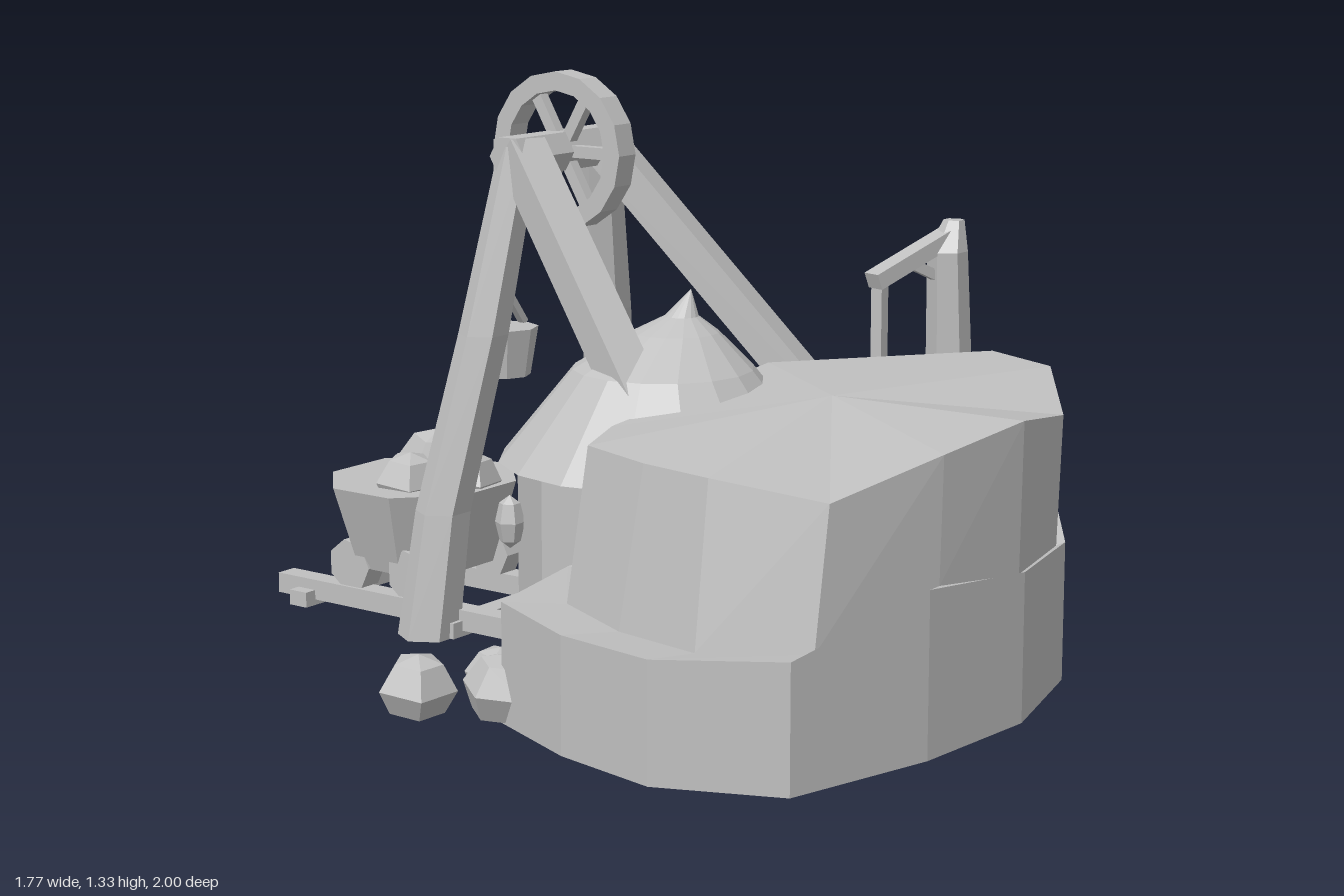
import * as THREE from 'three';

const stone = new THREE.MeshStandardMaterial({ color: 0xc0c0c0, flatShading: true, side: THREE.DoubleSide });
stone.name = 'plain grey';

function add(parent, name, geo, x = 0, y = 0, z = 0) {
  const m = new THREE.Mesh(geo, stone);
  m.name = name;
  m.position.set(x, y, z);
  parent.add(m);
  return m;
}

// Skin a list of equal-length point rings
function loft(rings) {
  const n = rings[0].length, index = [];
  for (let r = 0; r < rings.length - 1; r++) {
    for (let i = 0; i < n; i++) {
      const a = r * n + i, b = r * n + (i + 1) % n;
      index.push(a, b, b + n, a, b + n, a + n);
    }
  }
  const g = new THREE.BufferGeometry();
  g.setAttribute('position', new THREE.Float32BufferAttribute(rings.flat(2), 3));
  g.setIndex(index);
  const flat = g.toNonIndexed();
  flat.computeVertexNormals();
  return flat;
}

// Square timber between two points; parents stay at the origin
function beam(parent, name, a, b, w, d = w) {
  const p = new THREE.Vector3(...a), q = new THREE.Vector3(...b);
  const m = add(parent, name, new THREE.BoxGeometry(w, d, p.distanceTo(q)));
  m.position.copy(p).add(q).multiplyScalar(0.5);
  m.lookAt(q);
  return m;
}

// Tapered six-sided timber through several sections: [x, y, z, radius]
function post(parent, name, sections) {
  const ring = ([x, y, z, r]) => Array.from({ length: 6 }, (_, i) => {
    const t = i / 6 * Math.PI * 2;
    return [x + r * Math.cos(t), y, z - r * Math.sin(t)];
  });
  const first = sections[0], last = sections[sections.length - 1];
  return add(parent, name, loft([
    ring([first[0], first[1], first[2], 0]), ...sections.map(ring),
    ring([last[0], last[1], last[2], 0])]));
}

// Five-sided boulder with a flat base at y
function rock(parent, name, x, y, z, r, turn) {
  const profile = [[0, 0], [0.7, 0], [1, 0.6], [0.62, 1.25], [0, 1.45]];
  const geo = new THREE.LatheGeometry(profile.map(([a, b]) => new THREE.Vector2(a * r, b * r)), 5);
  add(parent, name, geo, x, y, z).rotation.set(0.08, turn, 0.06);
}

// Bucket on a rope with a forked handle
function bucket(parent, name, x, y, z, r, h, ropeTop) {
  const g = new THREE.Group();
  g.name = name;
  parent.add(g);
  add(g, 'pail', new THREE.CylinderGeometry(r, r * 0.76, h, 8), x, y + h / 2, z);
  beam(g, 'rope', [x, y + h + 0.08, z], [x, ropeTop, z], 0.03);
  for (const s of [-1, 1]) beam(g, 'handle', [x + s * r * 0.9, y + h, z], [x, y + h + 0.1, z], 0.018);
}

export function createModel() {
  const model = new THREE.Group();
  model.name = 'mine';

  // Two-tier mound, each row: lower rim x z y, upper foot x z, upper rim x z y
  const outline = [
    [-0.42, 0.03, 0.27, -0.42, 0.12, -0.40, 0.14, 0.60],
    [-0.74, 0.10, 0.27, -0.64, 0.20, -0.59, 0.22, 0.60],
    [-0.84, 0.34, 0.26, -0.72, 0.40, -0.66, 0.42, 0.60],
    [-0.89, 0.60, 0.265, -0.77, 0.63, -0.71, 0.62, 0.605],
    [-0.78, 0.87, 0.28, -0.68, 0.86, -0.63, 0.86, 0.57],
    [-0.42, 0.97, 0.365, -0.35, 0.95, -0.34, 0.95, 0.63],
    [-0.08, 1.00, 0.335, -0.07, 0.98, -0.07, 0.985, 0.66],
    [0.255, 0.915, 0.32, 0.25, 0.895, 0.25, 0.905, 0.61],
    [0.515, 0.735, 0.385, 0.51, 0.715, 0.515, 0.725, 0.66],
    [0.64, 0.48, 0.34, 0.59, 0.51, 0.585, 0.53, 0.665],
    [0.27, 0.055, 0.30, 0.21, 0.14, 0.21, 0.14, 0.65],
  ];
  const foot = outline.map(p => [p[3], p[2] - 0.01, p[4]]);
  add(model, 'lowerMound', loft([
    outline.map(p => [p[0], 0, p[1]]), outline.map(p => [p[0], p[2], p[1]]), foot]));
  add(model, 'upperMound', loft([
    foot, outline.map(p => [p[5], p[7], p[6]]), outline.map(() => [-0.1, 0.665, 0.52])]));

  // Round hut with a pointed roof whose tip leans over
  add(model, 'hutWall', new THREE.CylinderGeometry(0.335, 0.335, 0.48, 10, 1, true), -0.09, 0.24, 0.05);
  const roof = new THREE.LatheGeometry(
    [[0.33, 0.47], [0.38, 0.465], [0.21, 0.675], [0.1, 0.755], [0.04, 0.79], [0, 0.85]].map(p => new THREE.Vector2(...p)), 16);
  const pos = roof.attributes.position;
  for (let i = 0; i < pos.count; i++) {
    const lean = Math.max(0, pos.getY(i) - 0.67) / 0.18;
    pos.setX(i, pos.getX(i) + 0.07 * lean);
    pos.setZ(i, pos.getZ(i) + 0.03 * lean);
  }
  add(model, 'hutRoof', roof, -0.09, 0, 0.05);
  add(model, 'hutLamp', new THREE.SphereGeometry(0.035, 6, 4), -0.33, 0.32, -0.21).scale.y = 1.8;

  // Winding frame, symmetrical about its own centre line
  const mid = 0.05;
  const frame = new THREE.Group();
  frame.name = 'windingFrame';
  model.add(frame);
  add(frame, 'crossBeam', new THREE.CylinderGeometry(0.053, 0.053, 0.4, 6), mid, 1.135, -0.355).rotation.z = Math.PI / 2;
  for (const s of [-1, 1]) {
    beam(frame, 'frontLeg', [mid + s * 0.15, 1.15, -0.355], [mid + s * 0.365, 0.4, 0.29], 0.095, 0.085);
    post(frame, 'backLeg', [
      [mid + s * 0.36, 0, -0.48, 0.075], [mid + s * 0.325, 0.3, -0.46, 0.066],
      [mid + s * 0.24, 0.72, -0.40, 0.06], [mid + s * 0.155, 1.16, -0.355, 0.048]]);
  }
  // Spoked wheel
  const ring = new THREE.Shape().absarc(0, 0, 0.19, 0, Math.PI * 2);
  ring.holes.push(new THREE.Path().absarc(0, 0, 0.145, 0, Math.PI * 2, true));
  const rim = new THREE.ExtrudeGeometry(ring, { depth: 0.064, bevelEnabled: false, curveSegments: 8 });
  const wheel = new THREE.Group();
  wheel.name = 'windingWheel';
  wheel.position.set(mid, 1.135, -0.345);
  frame.add(wheel);
  add(wheel, 'rim', rim, -0.032, 0, 0).rotation.y = Math.PI / 2;
  for (let i = 0; i < 3; i++) {
    add(wheel, 'spoke', new THREE.BoxGeometry(0.028, 0.028, 0.32)).rotation.x = i * Math.PI / 3;
  }
  bucket(model, 'wheelBucket', mid, 0.57, -0.535, 0.085, 0.12, 1.15);

  // Side post with an arm and hanging bucket
  post(model, 'cranePost', [
    [0.785, 0, 0.313, 0.1], [0.748, 0.53, 0.315, 0.058], [0.725, 0.87, 0.318, 0.05], [0.75, 0.945, 0.32, 0.026]]);
  beam(model, 'craneArm', [0.76, 0.915, 0.32], [0.51, 0.815, 0.24], 0.05, 0.04);
  beam(model, 'craneBrace', [0.72, 0.80, 0.31], [0.62, 0.85, 0.27], 0.025);
  bucket(model, 'craneBucket', 0.54, 0.24, 0.24, 0.1, 0.13, 0.83);

  // Track
  for (const x of [-0.25, 0.07]) add(model, 'rail', new THREE.BoxGeometry(0.055, 0.05, 0.76), x, 0.04, -0.62);
  for (const z of [-0.905, -0.43]) add(model, 'tie', new THREE.BoxGeometry(0.44, 0.038, 0.055), -0.09, 0.02, z);

  // Ore cart
  const cart = new THREE.Group();
  cart.name = 'oreCart';
  cart.position.set(-0.09, 0, -0.68);
  model.add(cart);
  const body = new THREE.CylinderGeometry(0.25, 0.185, 0.205, 8);
  body.rotateY(Math.PI / 8);
  add(cart, 'cartBody', body, 0, 0.217, 0).scale.z = 0.93;
  for (const x of [-0.15, 0.15]) {
    for (const z of [-0.09, 0.1]) {
      add(cart, 'cartWheel', new THREE.CylinderGeometry(0.065, 0.065, 0.06, 7), x, 0.117, z).rotation.z = Math.PI / 2;
    }
  }
  [[-0.09, 0.28, 0.03, 0.085, 0.4], [0.08, 0.275, -0.03, 0.105, 1.1], [0.01, 0.285, 0.13, 0.08, 2]]
    .forEach(r => rock(cart, 'ore', ...r));

  // Loose rocks beside the mound
  [[-0.79, 0.006, -0.10, 0.09, 0.5], [-0.59, 0.006, -0.04, 0.075, 1.3], [-0.71, 0.008, 0.07, 0.095, 2.2]]
    .forEach(r => rock(model, 'looseRock', ...r));

  return model;
}
